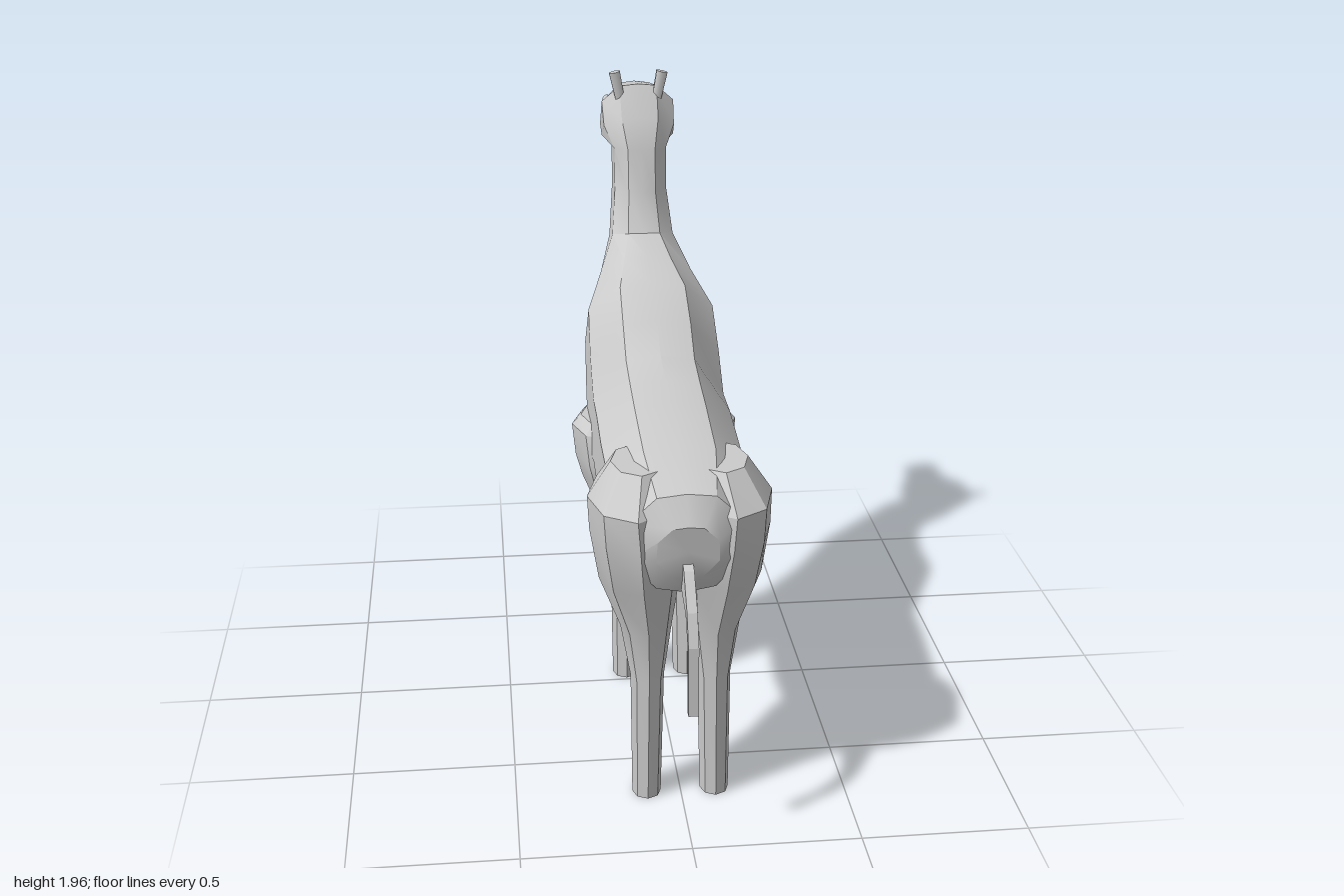
import * as THREE from 'three';
import { toCreasedNormals } from 'three/addons/utils/BufferGeometryUtils.js';

const material = new THREE.MeshStandardMaterial({ color: 0xcccccc });

// Skin a list of equal-sized rings and close both ends
function loft(rings, crease = 0.5) {
  const n = rings[0].length;
  const pos = rings.flat(2);
  const idx = [];
  for (let i = 0; i < rings.length - 1; i++) {
    for (let j = 0; j < n; j++) {
      const a = i * n + j, b = i * n + (j + 1) % n;
      idx.push(a, b, a + n, b, b + n, a + n);
    }
  }
  for (const end of [0, rings.length - 1]) {
    const c = pos.length / 3;
    for (let k = 0; k < 3; k++) pos.push(rings[end].reduce((s, p) => s + p[k], 0) / n);
    for (let j = 0; j < n; j++) {
      const a = end * n + j, b = end * n + (j + 1) % n;
      if (end === 0) idx.push(c, b, a);
      else idx.push(c, a, b);
    }
  }
  const g = new THREE.BufferGeometry();
  g.setAttribute('position', new THREE.Float32BufferAttribute(pos, 3));
  g.setIndex(idx);
  return toCreasedNormals(g, crease);
}

// Cross-section of the trunk: [drop from top to bottom, share of half width]
const half = [[0, 0], [0.03, 0.5], [0.27, 0.97], [0.65, 1], [0.95, 0.5], [1, 0]];
const outline = [...half, ...half.slice(1, -1).reverse().map(([u, w]) => [u, -w])];

function trunkRing([zt, yt, zb, yb, w]) {
  return outline.map(([u, k]) => [k * w, yt + (yb - yt) * u, zt + (zb - zt) * u]);
}

// Horizontal eight-sided ring of a leg: [y, inner x, outer x, front z, back z]
function legRing([y, xi, xo, zf, zb], side) {
  return Array.from({ length: 8 }, (_, j) => {
    const a = j * Math.PI / 4;
    return [side * (xi + xo) / 2 + Math.cos(a) * (xo - xi) / 2, y,
      (zf + zb) / 2 + Math.sin(a) * (zb - zf) / 2];
  });
}

export function createModel() {
  const model = new THREE.Group();
  const add = (name, geometry, x = 0, y = 0, z = 0) => {
    const mesh = new THREE.Mesh(geometry, material);
    mesh.name = name;
    mesh.position.set(x, y, z);
    model.add(mesh);
    return mesh;
  };

  // Trunk, neck and head: [top z, top y, bottom z, bottom y, half width]
  const sections = [
    [0.86, 0.96, 0.84, 0.79, 0.09],
    [0.81, 1.04, 0.80, 0.73, 0.17],
    [0.63, 1.11, 0.62, 0.69, 0.21],
    [0.38, 1.15, 0.31, 0.66, 0.215],
    [0.24, 1.17, 0.05, 0.69, 0.215],
    [0.10, 1.20, -0.13, 0.61, 0.215],
    [0.00, 1.28, -0.32, 0.78, 0.215],
    [-0.14, 1.36, -0.41, 0.98, 0.21],
    [-0.30, 1.40, -0.58, 1.16, 0.155],
    [-0.42, 1.45, -0.67, 1.38, 0.105],
    [-0.49, 1.57, -0.73, 1.56, 0.09],
    [-0.51, 1.71, -0.715, 1.70, 0.09],
    [-0.56, 1.81, -0.72, 1.69, 0.122],
    [-0.63, 1.91, -0.73, 1.685, 0.125],
    [-0.79, 1.89, -0.79, 1.675, 0.1],
    [-0.87, 1.855, -0.87, 1.705, 0.066],
    [-1.00, 1.835, -1.00, 1.755, 0.055],
  ];
  add('body', loft(sections.map(trunkRing)));

  // Legs from the hip or shoulder down to the foot
  const hindLeg = [
    [1.07, 0.04, 0.20, 0.50, 0.74],
    [0.97, 0.01, 0.27, 0.43, 0.84],
    [0.87, 0.00, 0.265, 0.46, 0.84],
    [0.72, 0.00, 0.24, 0.52, 0.80],
    [0.56, 0.025, 0.178, 0.57, 0.75],
    [0.40, 0.05, 0.15, 0.61, 0.74],
    [0.00, 0.06, 0.147, 0.63, 0.73],
  ];
  const frontLeg = [
    [0.93, 0.03, 0.24, -0.25, 0.02],
    [0.90, 0.01, 0.27, -0.27, 0.05],
    [0.80, 0.00, 0.26, -0.27, 0.08],
    [0.73, 0.00, 0.24, -0.24, 0.07],
    [0.58, 0.025, 0.178, -0.17, 0.01],
    [0.40, 0.05, 0.15, -0.14, 0.00],
    [0.00, 0.06, 0.147, -0.11, -0.01],
  ];
  for (const side of [1, -1]) {
    const tag = side > 0 ? 'Left' : 'Right';
    add('hindLeg' + tag, loft(hindLeg.map(r => legRing(r, side))));
    add('frontLeg' + tag, loft(frontLeg.map(r => legRing(r, side))));

    // Small hooves at the front of each foot
    const hoof = new THREE.BoxGeometry(0.065, 0.045, 0.05);
    add('hindHoof' + tag, hoof, side * 0.103, 0.035, 0.635);
    add('frontHoof' + tag, hoof, side * 0.103, 0.035, -0.105);

    // Horns lean slightly outward
    const horn = add('horn' + tag, new THREE.CylinderGeometry(0.021, 0.017, 0.1, 6),
      side * 0.07, 1.903, -0.627);
    horn.rotation.z = -side * 0.2;

    // Eyes
    const eye = add('eye' + tag, new THREE.SphereGeometry(1, 8, 6), side * 0.096, 1.83, -0.765);
    eye.scale.set(0.016, 0.018, 0.032);
  }

  // Curved, flat-sided tail drawn in the z-y plane
  const tail = new THREE.Shape([
    [0.80, 0.86], [0.87, 0.83], [0.95, 0.74], [0.99, 0.65], [1.0, 0.44],
    [0.978, 0.44], [0.975, 0.57], [0.95, 0.67], [0.915, 0.72], [0.80, 0.75],
  ].map(([z, y]) => new THREE.Vector2(z, y)));
  const tailGeometry = new THREE.ExtrudeGeometry(tail, { depth: 0.03, bevelEnabled: false });
  tailGeometry.translate(0, 0, -0.015).rotateY(-Math.PI / 2);
  add('tail', tailGeometry);

  return model;
}
